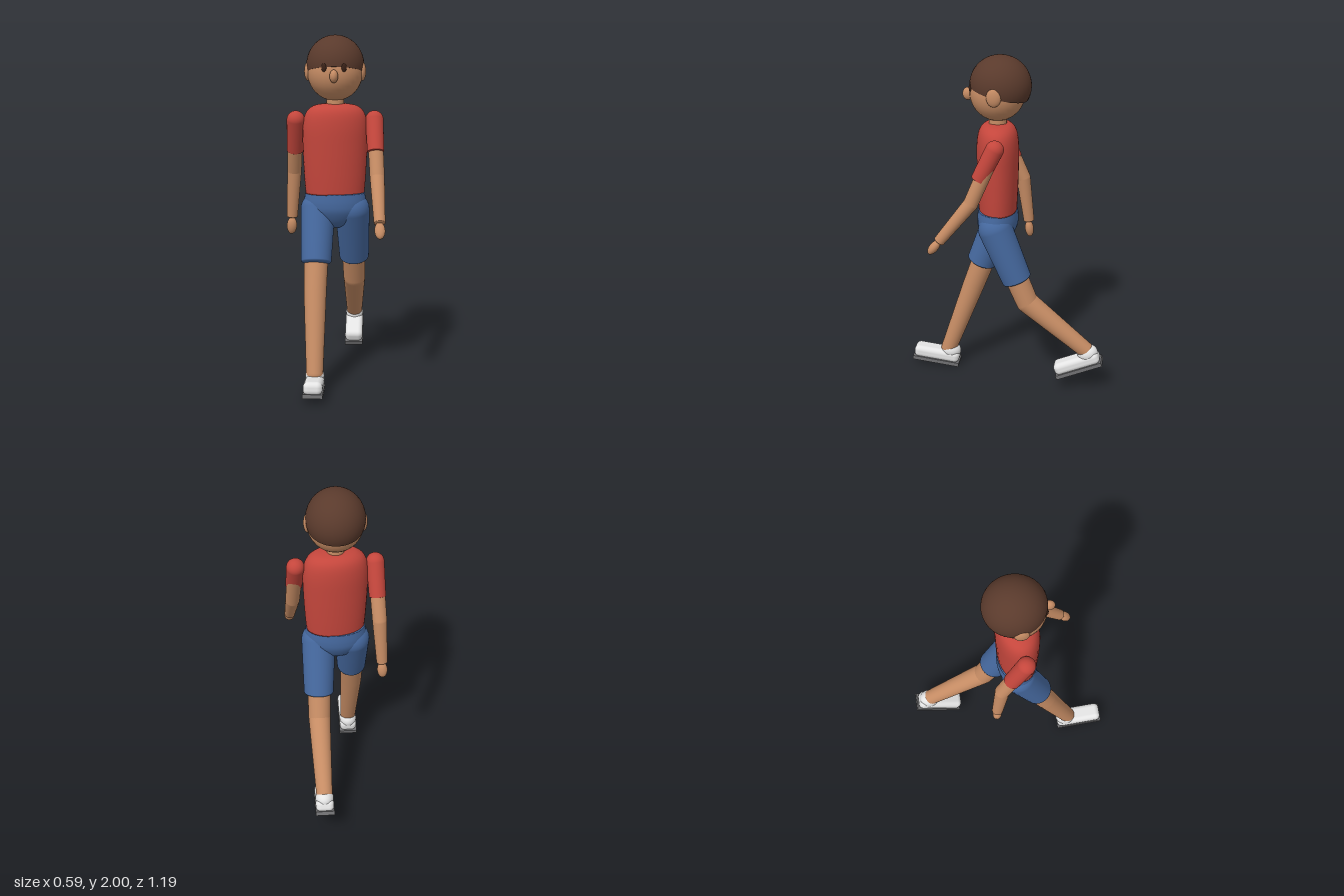
import * as THREE from 'three';
import { RoundedBoxGeometry } from 'three/addons/geometries/RoundedBoxGeometry.js';

const material = (name, color) => {
  const m = new THREE.MeshStandardMaterial({ color });
  m.name = name;
  return m;
};

export function createModel() {
  const skin = material('skin', 0xc68c64);
  const hairBrown = material('hair brown', 0x5a3a2c);
  const eyeBrown = material('eye brown', 0x3a2218);
  const red = material('shirt red', 0xc4463c);
  const blue = material('shorts blue', 0x45689e);
  const white = material('shoe white', 0xe4e4e4);
  const grey = material('sole grey', 0x707072);

  const model = new THREE.Group();
  model.name = 'walkingBoy';

  const add = (parent, name, geometry, mat, pos = [0, 0, 0]) => {
    const mesh = new THREE.Mesh(geometry, mat);
    mesh.name = name;
    mesh.position.set(...pos);
    parent.add(mesh);
    return mesh;
  };
  const ball = (parent, name, mat, pos, radii) => {
    const mesh = add(parent, name, new THREE.SphereGeometry(1, 32, 20), mat, pos);
    mesh.scale.set(...radii);
    return mesh;
  };
  const lathe = (pts) =>
    new THREE.LatheGeometry(pts.map(([r, y]) => new THREE.Vector2(r, y)), 36);

  // Tapered limb from a to b: round start, straight sides, softly closed end
  const limb = (parent, name, mat, a, b, ra, rb, endRound = rb) => {
    const from = new THREE.Vector3(...a);
    const axis = new THREE.Vector3(...b).sub(from);
    const length = axis.length();
    const pts = [];
    for (let i = 0; i <= 8; i++) {
      const t = (i / 8) * Math.PI / 2;
      pts.push([ra * Math.sin(t), -ra * Math.cos(t)]);
    }
    for (let i = 0; i <= 8; i++) {
      const t = (i / 8) * Math.PI / 2;
      pts.push([rb * Math.cos(t), length + endRound * Math.sin(t)]);
    }
    const mesh = add(parent, name, lathe(pts), mat, a);
    mesh.quaternion.setFromUnitVectors(new THREE.Vector3(0, 1, 0), axis.normalize());
    return mesh;
  };

  // Smooth body of revolution, flattened front to back
  const body = (name, mat, profile, flat) => {
    const curve = new THREE.SplineCurve(profile.map(([r, y]) => new THREE.Vector2(r, y)));
    const pts = curve.getPoints(40).map((p) => [Math.max(p.x, 0), p.y]);
    const last = profile[profile.length - 1];
    const mesh = add(model, name, lathe([[0, profile[0][1]], ...pts, [0, last[1]]]), mat, [0, 0, 0.045]);
    mesh.scale.z = flat;
    return mesh;
  };

  // Head, face and ears
  const head = new THREE.Group();
  head.name = 'head';
  model.add(head);
  ball(head, 'skull', skin, [0, 1.79, 0.045], [0.158, 0.162, 0.158]);
  ball(head, 'nose', skin, [0, 1.775, 0.213], [0.024, 0.037, 0.032]);
  for (const s of [-1, 1]) {
    ball(head, s > 0 ? 'leftEar' : 'rightEar', skin, [s * 0.155, 1.795, 0.045], [0.021, 0.053, 0.042]);
    const eye = ball(head, s > 0 ? 'leftEye' : 'rightEye', eyeBrown, [s * 0.056, 1.822, 0.19], [0.015, 0.024, 0.009]);
    eye.rotation.y = s * 0.36;
  }
  add(head, 'neck', new THREE.CylinderGeometry(0.05, 0.052, 0.12, 32), skin, [0, 1.61, 0.045]);

  // Hair cap, cut by a plane that drops toward the nape
  const hairPoints = [];
  for (let i = 0; i <= 20; i++) {
    const t = THREE.MathUtils.degToRad(105) * (1 - i / 20);
    hairPoints.push([Math.sin(t), Math.cos(t)]);
  }
  const hair = add(head, 'hair', lathe([[0, hairPoints[0][1]], [hairPoints[0][0], hairPoints[0][1]], ...hairPoints]), hairBrown, [0, 1.83, 0.028]);
  hair.scale.set(0.165, 0.17, 0.175);
  hair.rotation.x = -0.24;

  // Torso, turned a little with the stride, and seat of the shorts
  const shirt = body('shirt', red, [
    [0.17, 1.095], [0.178, 1.2], [0.185, 1.35], [0.186, 1.48],
    [0.168, 1.56], [0.125, 1.6], [0.06, 1.613],
  ], 0.65);
  shirt.rotation.y = 0.12;
  body('shortsSeat', blue, [
    [0.015, 0.892], [0.06, 0.9], [0.12, 0.93], [0.17, 0.99], [0.18, 1.04], [0.172, 1.1],
  ], 0.66);

  // Arms: shoulder, sleeve end, elbow, wrist and hand positions
  const arms = [
    { name: 'leftArm', shoulder: [0.225, 1.52, 0.03], cuff: [0.234, 1.345, 0.115], elbow: [0.244, 1.205, 0.163], wrist: [0.26, 0.975, 0.345], hand: [0.262, 0.937, 0.375] },
    { name: 'rightArm', shoulder: [-0.225, 1.52, 0.062], cuff: [-0.235, 1.335, -0.016], elbow: [-0.245, 1.205, -0.073], wrist: [-0.262, 0.93, -0.105], hand: [-0.265, 0.873, -0.108] },
  ];
  for (const p of arms) {
    const arm = new THREE.Group();
    arm.name = p.name;
    model.add(arm);
    limb(arm, 'sleeve', red, p.shoulder, p.cuff, 0.052, 0.048, 0.004);
    limb(arm, 'upperArm', skin, p.shoulder, p.elbow, 0.045, 0.042);
    limb(arm, 'forearm', skin, p.elbow, p.wrist, 0.042, 0.032, 0.008);
    const hand = ball(arm, 'hand', skin, p.hand, [0.03, 0.052, 0.026]);
    const reach = new THREE.Vector3(...p.wrist).sub(new THREE.Vector3(...p.elbow)).normalize();
    hand.quaternion.setFromUnitVectors(new THREE.Vector3(0, -1, 0), reach);
  }

  // Legs: hip, shorts hem, knee and ankle, plus heel position and pitch of the shoe
  const legs = [
    { name: 'leftLeg', hip: [0.1, 1.0, 0.045], hem: [0.108, 0.7, -0.08], knee: [0.108, 0.555, -0.143], ankle: [0.1, 0.262, -0.492], heel: [0.1, 0.185, -0.598], pitch: 0.393 },
    { name: 'rightLeg', hip: [-0.1, 1.0, 0.045], hem: [-0.103, 0.715, 0.16], knee: [-0.107, 0.55, 0.212], ankle: [-0.101, 0.11, 0.372], heel: [-0.101, 0.003, 0.307], pitch: -0.122 },
  ];
  for (const p of legs) {
    const leg = new THREE.Group();
    leg.name = p.name;
    model.add(leg);
    limb(leg, 'shortsLeg', blue, p.hip, p.hem, 0.1, 0.087, 0.022);
    limb(leg, 'thigh', skin, p.hip, p.knee, 0.075, 0.065);
    limb(leg, 'shin', skin, p.knee, p.ankle, 0.065, 0.048);

    // Shoe, modelled forward from the heel
    const shoe = new THREE.Group();
    shoe.name = 'shoe';
    shoe.position.set(...p.heel);
    shoe.rotation.x = p.pitch;
    leg.add(shoe);
    add(shoe, 'sole', new THREE.BoxGeometry(0.112, 0.024, 0.29), grey, [0, 0.012, 0.145]);
    add(shoe, 'upper', new RoundedBoxGeometry(0.108, 0.075, 0.284, 5, 0.03), white, [0, 0.052, 0.146]);
    ball(shoe, 'collar', white, [0, 0.085, 0.063], [0.054, 0.052, 0.062]);
  }

  return model;
}
